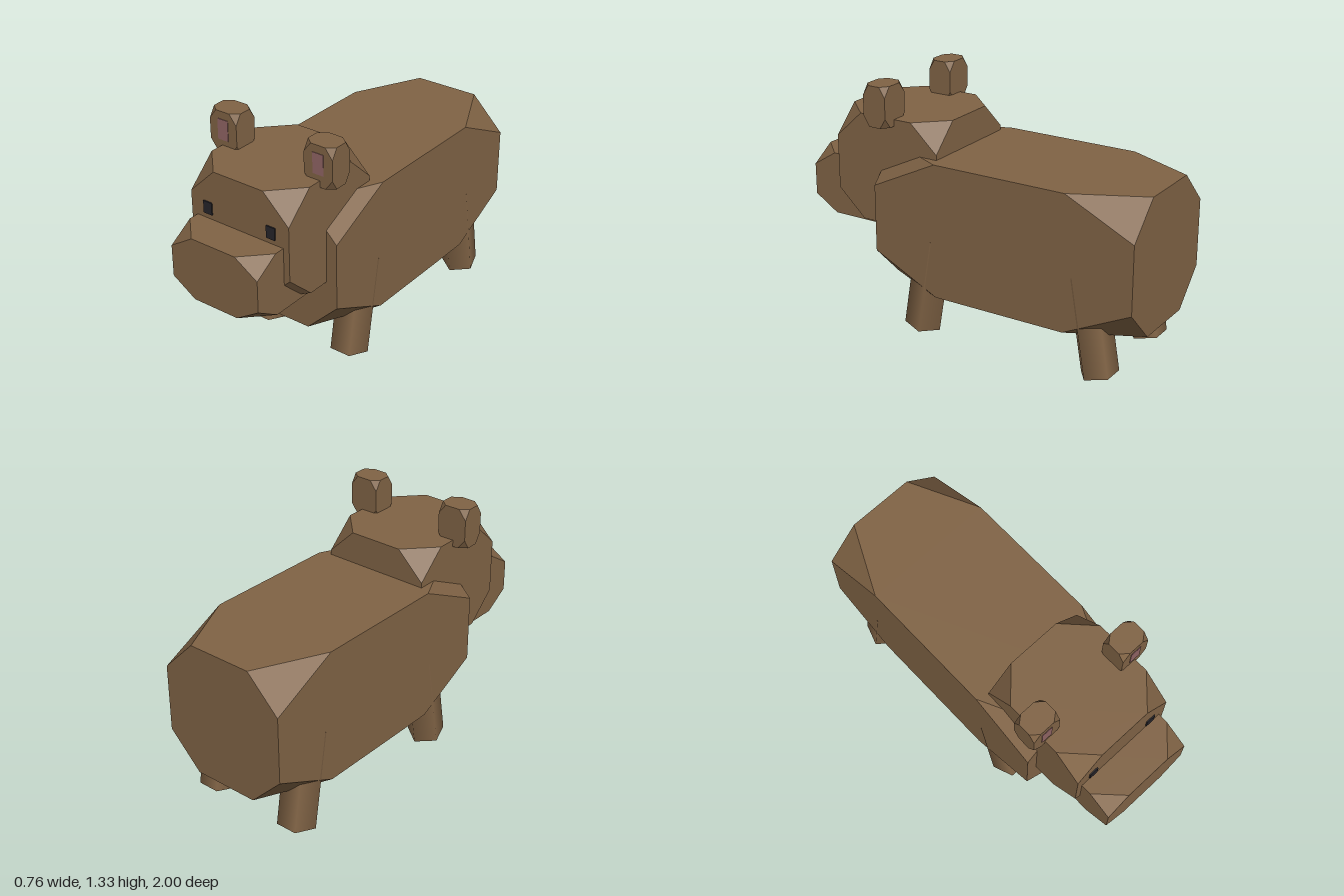
import * as THREE from 'three';
import { ConvexGeometry } from 'three/addons/geometries/ConvexGeometry.js';

const brown = new THREE.MeshStandardMaterial({ color: 0x806345 });
const pink = new THREE.MeshStandardMaterial({ color: 0x906464 });
const dark = new THREE.MeshStandardMaterial({ color: 0x26242a });

// Box between two corners with every corner sliced off a quarter along each edge
function cutBox(name, min, max) {
  const half = max.map((v, i) => (v - min[i]) / 2);
  const points = [];
  for (const x of [-1, 1]) for (const y of [-1, 1]) for (const z of [-1, 1]) {
    for (let axis = 0; axis < 3; axis++) {
      const p = [x, y, z].map((s, i) => s * half[i] * (i === axis ? 0.5 : 1));
      points.push(new THREE.Vector3(...p));
    }
  }
  const mesh = new THREE.Mesh(new ConvexGeometry(points), brown);
  mesh.position.set(...max.map((v, i) => (v + min[i]) / 2));
  mesh.name = name;
  return mesh;
}

function plainBox(name, size, position, material) {
  const mesh = new THREE.Mesh(new THREE.BoxGeometry(...size), material);
  mesh.position.set(...position);
  mesh.name = name;
  return mesh;
}

export function createModel() {
  const model = new THREE.Group();
  model.name = 'animal';

  // Body, head and snout
  model.add(
    cutBox('body', [-0.368, 0.24, -1], [0.368, 0.976, 0.521]),
    cutBox('head', [-0.305, 0.56, 0.167], [0.305, 1.15, 0.805]),
    cutBox('snout', [-0.27, 0.536, 0.45], [0.27, 0.88, 1])
  );

  // Five-sided legs, splayed forwards and backwards
  const tilt = 0.167, length = 0.54, radius = 0.103;
  const legGeometry = new THREE.CylinderGeometry(radius, radius, length, 5);
  legGeometry.translate(0, length / 2, 0);

  for (const side of [-1, 1]) {
    const label = side > 0 ? 'left' : 'right';

    for (const end of [-1, 1]) {
      const leg = new THREE.Group();
      const shaft = new THREE.Mesh(legGeometry, brown);
      // one corner of the shaft points to the middle of the body
      shaft.rotation.y = end > 0 ? Math.PI : 0;
      leg.add(shaft);
      leg.position.set(side * 0.272, radius * Math.sin(tilt), end > 0 ? 0.288 : -0.784);
      leg.rotation.x = -end * tilt;
      leg.name = label + (end > 0 ? 'FrontLeg' : 'BackLeg');
      model.add(leg);
    }

    // Ear with its pink inside, and eye
    const ear = cutBox(label + 'Ear', [-0.085, 1.114, 0.43], [0.085, 1.334, 0.567]);
    ear.position.x = side * 0.294;
    model.add(
      ear,
      plainBox(label + 'InnerEar', [0.065, 0.112, 0.01], [side * 0.295, 1.236, 0.565], pink),
      plainBox(label + 'Eye', [0.053, 0.067, 0.02], [side * 0.197, 0.941, 0.802], dark)
    );
  }
  return model;
}
